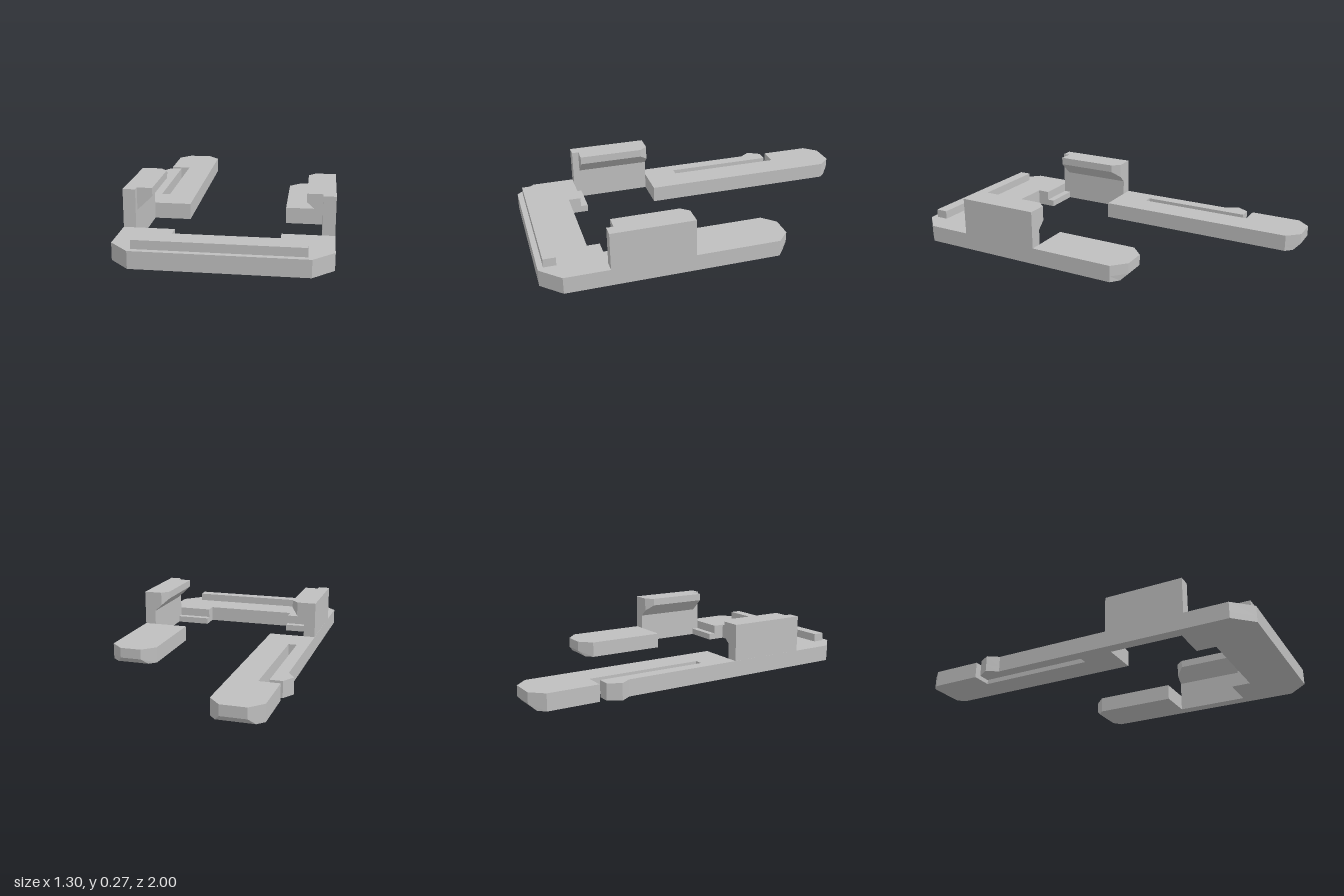
import * as THREE from 'three';

// Local plan: a = across the frame, b = toward the arm tips (local -z).
const TURN = -0.3553;
const AXIS = 0.093; // mirror line between the two arms
const BASE_TOP = 0.083;
const flip = (a) => 2 * AXIS - a;

const grey = new THREE.MeshStandardMaterial({ color: 0xbfbfbf });
grey.name = 'light grey';

// Extrude a polygon along z, then optionally move each vertex by a rule.
function prism(points, depth, steps = 1) {
  const shape = new THREE.Shape(points.map(([x, y]) => new THREE.Vector2(x, y)));
  return new THREE.ExtrudeGeometry(shape, { depth, steps, bevelEnabled: false });
}

function bend(geometry, rule) {
  const pos = geometry.attributes.position;
  const p = new THREE.Vector3();
  for (let i = 0; i < pos.count; i++) {
    p.fromBufferAttribute(pos, i);
    rule(p);
    pos.setXYZ(i, p.x, p.y, p.z);
  }
  geometry.computeVertexNormals();
  return geometry;
}

// Plan polygon raised from y0 to y1.
function slab(points, y0, y1, steps = 1) {
  return prism(points, y1 - y0, steps).rotateX(-Math.PI / 2).translate(0, y0, 0);
}

export function createModel() {
  const model = new THREE.Group();
  model.name = 'bracket';
  const body = new THREE.Group();
  body.name = 'bracketBody';
  body.rotation.y = TURN;
  model.add(body);

  const add = (name, geometry) => {
    const mesh = new THREE.Mesh(geometry, grey);
    mesh.name = name;
    body.add(mesh);
  };

  // U-shaped base with a long arm, a short arm and a slotted spring latch
  const outline = [
    [-0.309, -0.879], [0.492, -0.879], [0.59, -0.782],
    // short arm
    [0.59, 0.275], [0.521, 0.338], [0.408, 0.338], [0.344, 0.275],
    [0.344, -0.152], [0.53, -0.152], [0.53, -0.562], [0.344, -0.562],
    // inner edge of the crossbar
    [0.344, -0.625], [-0.158, -0.625], [-0.158, -0.562],
    // long arm
    [-0.344, -0.562], [-0.344, -0.152], [-0.156, -0.152],
    [-0.156, 0.878], [-0.217, 0.942], [-0.343, 0.942], [-0.404, 0.878],
    // slot and latch
    [-0.404, 0.619], [-0.299, 0.619], [-0.299, 0.017], [-0.343, 0.017],
    [-0.343, 0.586], [-0.406, 0.586], [-0.444, 0.523], [-0.406, 0.467],
    [-0.404, -0.782],
  ];
  const base = bend(slab(outline, 0, BASE_TOP, 2), (p) => {
    if (p.y > 0.02 && p.y < 0.06) p.y = 0.03;
    // bevel under each arm tip
    const long = p.x < AXIS;
    const tip = long ? 0.942 : 0.338;
    const middle = long ? -0.28 : 0.465;
    if (p.y < 0.01 && Math.abs(-p.z - tip) < 0.001) {
      p.z += 0.03;
      p.x += 0.028 * Math.sign(p.x - middle);
    }
  });
  add('base', base);

  // Raised rail along the crossbar
  add('rail', slab([[-0.298, -0.852], [0.474, -0.852], [0.474, -0.791], [-0.298, -0.791]],
    BASE_TOP, 0.125));

  for (const [side, m] of [['right', (a) => a], ['left', flip]]) {
    const mirror = (points) => points.map(([a, b]) => [m(a), b]);

    // Upright wall on the arm
    add(side + 'Wall', slab(mirror([[-0.404, -0.562], [-0.344, -0.562],
      [-0.344, -0.152], [-0.404, -0.152]]), BASE_TOP, 0.27));

    // Low ledge at the inside corner
    add(side + 'Ledge', slab(mirror([[-0.344, -0.562], [-0.158, -0.562],
      [-0.158, -0.525], [-0.344, -0.525]]), 0, 0.035));

    // Overhanging hook, chamfered at its back end
    const hook = prism(mirror([[-0.344, 0.16], [-0.27, 0.23], [-0.27, 0.27], [-0.344, 0.27]]),
      0.376, 2).translate(0, 0, 0.152);
    add(side + 'Hook', bend(hook, (p) => {
      if (p.z < 0.16) {
        if (Math.abs(p.x - m(-0.27)) < 0.001) {
          p.x = m(-0.305);
          if (p.y < 0.25) p.y = 0.197;
        }
      } else if (p.z < 0.5) p.z = 0.193;
    }));
  }
  return model;
}
